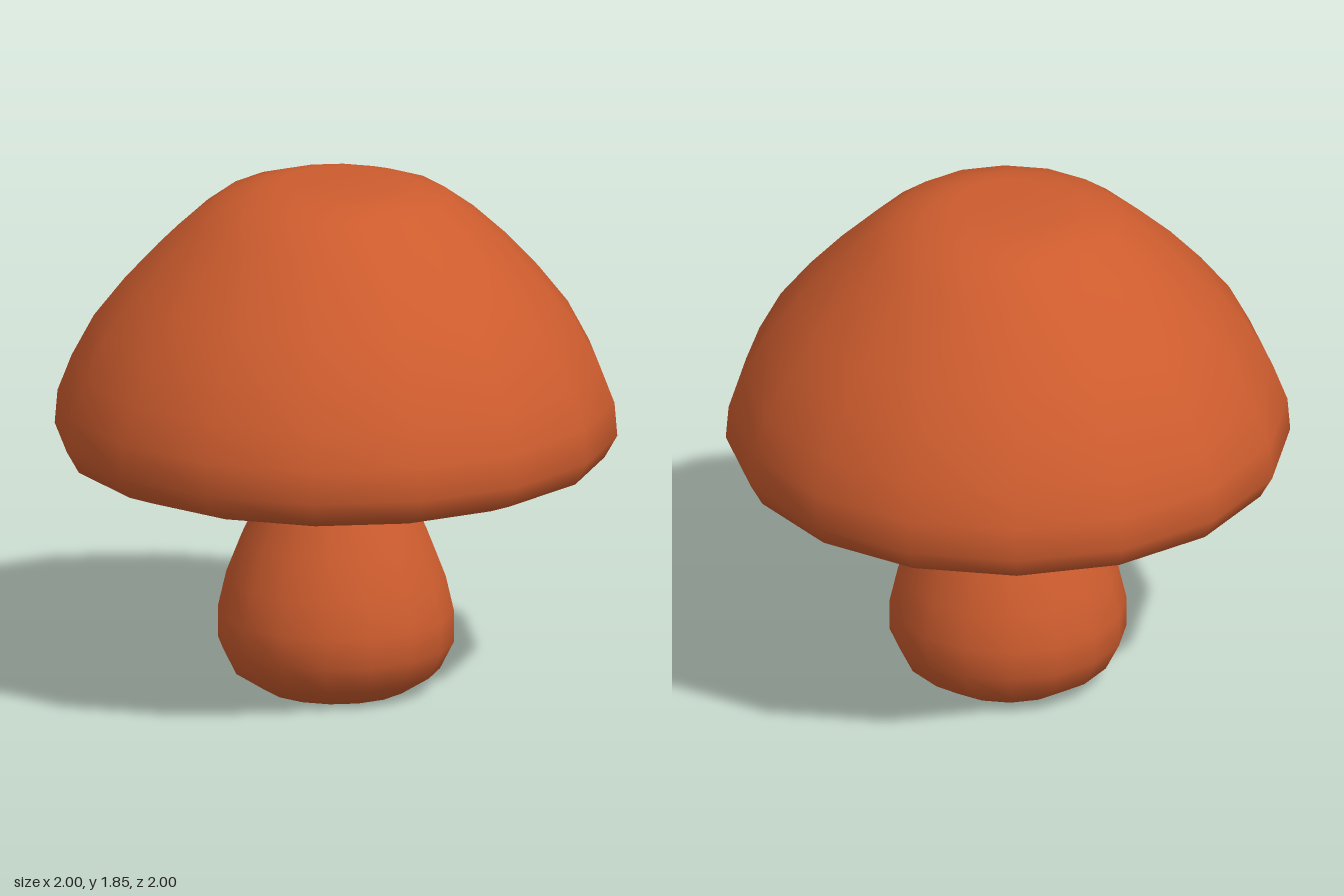
import * as THREE from 'three';

const SIDES = 16;

// Smooth sixteen-sided turned part; profile runs from bottom to top as [radius, height]
function turned(name, profile, material) {
  const points = profile.map(([r, y]) => new THREE.Vector2(r, y));
  const mesh = new THREE.Mesh(new THREE.LatheGeometry(points, SIDES), material);
  mesh.name = name;
  return mesh;
}

export function createModel() {
  const group = new THREE.Group();
  group.name = 'mushroom';
  const skin = new THREE.MeshStandardMaterial({ color: 0xcd5c2e });

  // Bulbous stem, narrowing to the neck
  group.add(turned('stem', [
    [0, 0], [0.26, 0], [0.37, 0.07], [0.42, 0.17], [0.42, 0.28], [0.39, 0.41],
    [0.335, 0.55], [0.275, 0.68], [0.22, 0.8], [0.2, 0.88],
  ], skin));

  // Cap: neck joint, hollow underside, rolled rim and dome
  group.add(turned('cap', [
    [0.2, 0.88], [0.21, 0.93], [0.27, 0.94], [0.45, 0.9], [0.68, 0.86], [0.85, 0.82],
    [0.955, 0.86], [1, 0.94], [0.99, 1.06], [0.94, 1.19], [0.86, 1.34], [0.75, 1.48],
    [0.63, 1.61], [0.51, 1.72], [0.4, 1.8], [0.29, 1.835], [0.2, 1.85], [0, 1.85],
  ], skin));

  return group;
}
